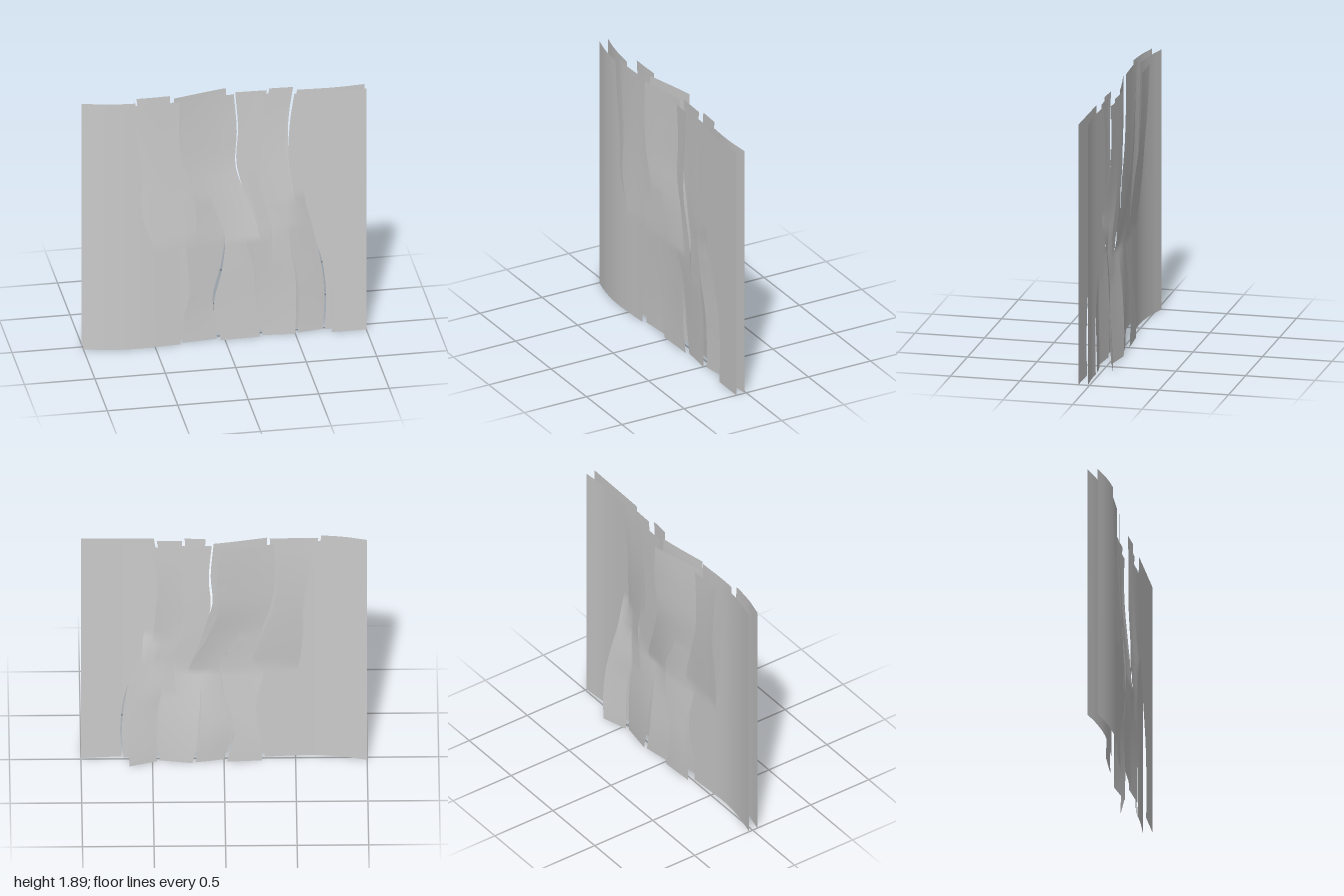
import * as THREE from 'three';
import { mergeVertices } from 'three/addons/utils/BufferGeometryUtils.js';

const H = 1.89, ROWS = 64;
const { smoothstep, lerp, clamp } = THREE.MathUtils;

// Smooth curve through [position, value] pairs
function spline(points) {
  const c = new THREE.CubicInterpolant(points.map(p => p[0]), points.map(p => p[1]), 1);
  return v => c.evaluate(v)[0];
}

// A tear from the top or bottom edge to height `end`. The x values are evenly
// spaced from edge to tip; the last one is where the line meets the far edge.
// `shift` moves the tear sideways in the back sheet.
function tear(top, end, shift, gap, xs) {
  const from = top ? H : 0;
  const points = xs.map((x, i) => [i < 5 ? lerp(from, end, i / 4) : H - from, x]);
  points.sort((a, b) => a[0] - b[0]);
  return { top, end, shift, gap, x: spline(points) };
}

// Sides of the cloth act as lines that never open
const side = x => ({ x: () => x, fixed: true });

const NARROW = 0.01, WIDE = 0.027;
const lines = [
  side(-1),
  tear(true, 0.78, 0.05, NARROW, [-0.67, -0.64, -0.605, -0.6, -0.52, -0.5]),
  tear(false, 0.76, 0.035, NARROW, [-0.31, -0.3, -0.255, -0.265, -0.28, -0.48]),
  tear(true, 0.84, -0.05, NARROW, [-0.31, -0.315, -0.29, -0.215, -0.2, -0.16]),
  tear(false, 1.12, 0.03, NARROW, [-0.04, -0.09, -0.03, -0.01, -0.1, -0.15]),
  tear(false, 0.77, -0.05, NARROW, [0.26, 0.23, 0.22, 0.2, 0.14, -0.08]),
  tear(true, 0.77, -0.04, WIDE, [0.1, 0.12, 0.11, 0.19, 0.25, 0.34]),
  tear(true, 0.58, 0.035, NARROW, [0.285, 0.265, 0.245, 0.32, 0.34, 0.41]),
  tear(false, 0.85, -0.05, NARROW, [0.51, 0.515, 0.51, 0.475, 0.45, 0.37]),
  tear(true, 1.04, 0.03, NARROW, [0.48, 0.45, 0.44, 0.46, 0.5, 0.58]),
  tear(false, 1.1, -0.042, WIDE, [0.73, 0.74, 0.71, 0.635, 0.56, 0.6]),
  side(1),
];

// Distance from a tear's tip at height y, positive where the cloth is torn
const fromTip = (l, y) => l.top ? y - l.end : l.end - y;

function lineX(l, y, isBack) {
  return l.x(y) + (isBack && !l.fixed ? l.shift * smoothstep(fromTip(l, y), 0, 0.3) : 0);
}

function halfGap(l, y) {
  return l.fixed ? 0 : l.gap * smoothstep(fromTip(l, y), 0, 0.6);
}

// How much of its full push a strip's edge has: quick near the tip, easing out at the hem
function pushWeight(l, y) {
  if (l.fixed) return 0;
  return Math.sin(Math.PI / 2 * clamp(fromTip(l, y) / (l.top ? H - l.end : l.end), 0, 1));
}

// Push of a loose strip hanging between neighbouring tears of the same edge
function stripPush(panel, x, y, top, pushes, isBack) {
  const bounds = lines.map((l, i) => i).filter(i => lines[i].fixed || lines[i].top === top);
  const s = bounds.findIndex((b, k) => panel >= b && panel < bounds[k + 1]);
  const a = lines[bounds[s]], b = lines[bounds[s + 1]];
  const xa = lineX(a, y, isBack), xb = lineX(b, y, isBack);
  return lerp(pushes[s][0] * pushWeight(a, y), pushes[s][1] * pushWeight(b, y),
    clamp((x - xa) / (xb - xa), 0, 1));
}

// One sheet of cloth: panels between the lines, welded wherever no tear is open
function makeSheet(name, isBack, profile, topPush, bottomPush) {
  const baseZ = spline(profile);
  const pos = [], index = [];
  for (let p = 0; p < lines.length - 1; p++) {
    const a = lines[p], b = lines[p + 1];
    const cols = a.fixed || b.fixed ? 12 : 5;
    const start = pos.length / 3;
    for (let r = 0; r <= ROWS; r++) {
      const y = H * r / ROWS;
      const xa = lineX(a, y, isBack) + halfGap(a, y);
      const xb = lineX(b, y, isBack) - halfGap(b, y);
      for (let c = 0; c <= cols; c++) {
        const x = lerp(xa, xb, c / cols);
        const z = baseZ(x) + stripPush(p, x, y, true, topPush, isBack)
          + stripPush(p, x, y, false, bottomPush, isBack);
        pos.push(x, y, z);
        if (r < ROWS && c < cols) {
          const i = start + r * (cols + 1) + c, j = i + cols + 1;
          index.push(i, i + 1, j + 1, i, j + 1, j);
        }
      }
    }
  }
  let geo = new THREE.BufferGeometry();
  geo.setAttribute('position', new THREE.Float32BufferAttribute(pos, 3));
  geo.setIndex(index);
  geo = mergeVertices(geo, 1e-5);
  geo.computeVertexNormals();
  const mesh = new THREE.Mesh(geo, new THREE.MeshStandardMaterial({ color: 0xcccccc, side: THREE.DoubleSide }));
  mesh.name = name;
  return mesh;
}

export function createModel() {
  const group = new THREE.Group();
  group.name = 'tornCloth';
  group.add(
    // Front sheet, with strips pushed slightly back
    makeSheet('frontSheet', false,
      [[-1, 0.04], [-0.85, 0.075], [-0.65, 0.095], [-0.3, 0.08], [0, 0.068], [0.5, 0.075], [1, 0.08]],
      [[0, 0], [-0.03, -0.02], [-0.005, -0.065], [-0.01, 0], [-0.03, -0.03], [0, 0]],
      [[0, 0], [-0.02, -0.03], [0, -0.01], [-0.03, -0.015], [-0.03, -0.065], [0, 0]]),
    // Back sheet, with strips hanging further out
    makeSheet('backSheet', true,
      [[-1, -0.03], [-0.85, 0.005], [-0.65, 0.03], [-0.3, 0.015], [0, 0], [0.4, 0.01], [0.8, 0.025], [1, 0.012]],
      [[0, 0], [-0.07, -0.06], [-0.015, -0.1], [-0.02, -0.02], [-0.045, -0.045], [0, 0]],
      [[0, 0], [-0.04, -0.04], [-0.01, -0.05], [-0.06, -0.03], [-0.04, -0.12], [0, 0]]),
  );
  return group;
}
